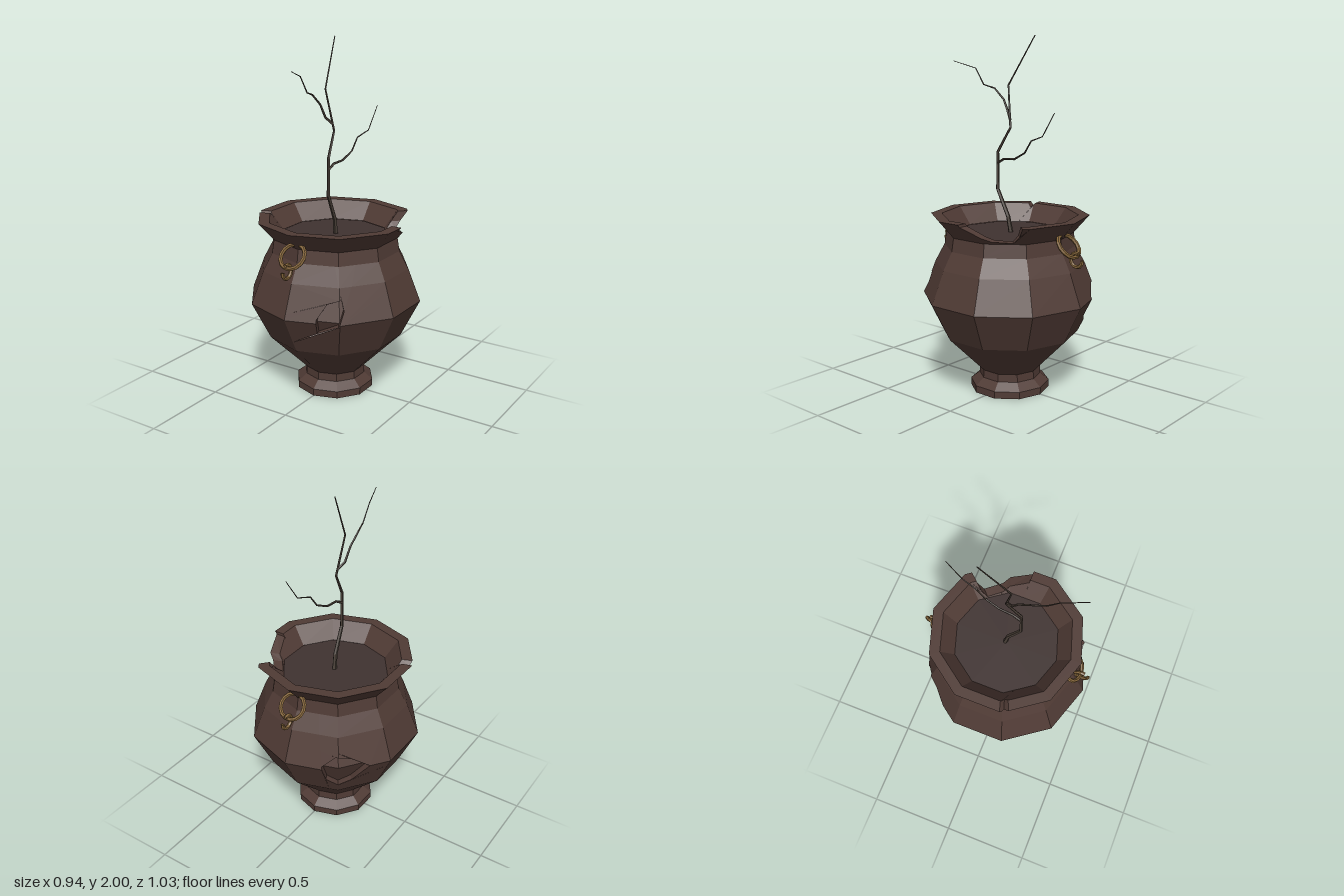
import * as THREE from 'three';

const SIDES = 10;
const paint = (color) => new THREE.MeshStandardMaterial({ color, flatShading: true, side: THREE.DoubleSide });
const CLAY = paint(0x503b35), SOIL = paint(0x3f3230), WOOD = paint(0x483e36), BRASS = paint(0x84653a);

function add(parent, name, geometry, material) {
  const mesh = new THREE.Mesh(geometry, material);
  mesh.name = name;
  parent.add(mesh);
  return mesh;
}

// Signed side of p relative to the line a-b (positive = left)
const sideOf = (p, a, b) => (b[0] - a[0]) * (p[1] - a[1]) - (b[1] - a[1]) * (p[0] - a[0]);

// Keep the part of a convex polygon on one side of a line
function clip(poly, a, b, sign) {
  const out = [];
  poly.forEach((p, i) => {
    const q = poly[(i + 1) % poly.length];
    const dp = sign * sideOf(p, a, b), dq = sign * sideOf(q, a, b);
    if (dp >= 0) out.push(p);
    if (dp * dq < 0) {
      const t = dp / (dp - dq);
      out.push([p[0] + (q[0] - p[0]) * t, p[1] + (q[1] - p[1]) * t]);
    }
  });
  return out.length > 2 ? out : [];
}

// Point on the faceted wall: u counts sides from the front towards +x
function onWall(u, y, r) {
  const i = Math.floor(u), f = u - i, step = Math.PI * 2 / SIDES;
  const s = (k) => r * Math.sin(k * step), c = (k) => r * Math.cos(k * step);
  return [s(i) + (s(i + 1) - s(i)) * f, y, c(i) + (c(i + 1) - c(i)) * f];
}

// Faceted wall with convex chips, given as (u, y) polygons, broken out of it.
// profile rows are [y, outer radius, inner radius]; a hollow wall gets an inside and a lip.
function chippedWall(profile, chips, hollow) {
  const pos = [];
  const face = (pts) => {
    for (let i = 1; i < pts.length - 1; i++) pos.push(...pts[0], ...pts[i], ...pts[i + 1]);
  };
  const top = profile[profile.length - 1][0];
  for (let b = 0; b < profile.length - 1; b++) {
    const [y0, o0, n0] = profile[b], [y1, o1, n1] = profile[b + 1];
    for (let k = 0; k < SIDES; k++) {
      // keep lookups on this facet, even at its far edge
      const at = (p, r0, r1) => {
        const r = r0 + (r1 - r0) * (p[1] - y0) / (y1 - y0);
        const A = onWall(k, p[1], r), B = onWall(k + 1, p[1], r), f = p[0] - k;
        return A.map((v, j) => v + (B[j] - v) * f);
      };
      const outer = (p) => at(p, o0, o1), inner = (p) => at(p, n0, n1);
      let kept = [[[k, y0], [k + 1, y0], [k + 1, y1], [k, y1]]];
      for (const chip of chips) {
        const next = [];
        for (let cur of kept) {
          chip.forEach((a, i) => {
            const e = chip[(i + 1) % chip.length];
            const rest = clip(cur, a, e, -1);
            if (rest.length) next.push(rest);
            cur = clip(cur, a, e, 1);
          });
          if (!cur.length) continue;
          if (!hollow) face(cur.map(inner));
          // broken edges around the chip
          cur.forEach((p, i) => {
            const q = cur[(i + 1) % cur.length];
            const broken = chip.some((a, j) => {
              const e = chip[(j + 1) % chip.length];
              return Math.abs(sideOf(p, a, e)) < 1e-7 && Math.abs(sideOf(q, a, e)) < 1e-7;
            });
            if (broken) face([outer(p), outer(q), inner(q), inner(p)]);
          });
        }
        kept = next;
      }
      for (const piece of kept) {
        face(piece.map(outer));
        if (!hollow) continue;
        face(piece.map(inner).reverse());
        piece.forEach((p, i) => {
          const q = piece[(i + 1) % piece.length];
          if (Math.abs(p[1] - top) < 1e-6 && Math.abs(q[1] - top) < 1e-6) {
            face([outer(p), inner(p), inner(q), outer(q)]);
          }
        });
      }
    }
  }
  const g = new THREE.BufferGeometry();
  g.setAttribute('position', new THREE.Float32BufferAttribute(pos, 3));
  g.computeVertexNormals();
  return g;
}

// Angular tapering twig through the given points
function twig(points, r0, r1) {
  const pts = points.map((p) => new THREE.Vector3(...p)), n = pts.length - 1, sides = 5;
  const curve = new THREE.Curve();
  curve.getPoint = (t) => {
    const i = Math.min(n - 1, Math.floor(t * n));
    return pts[i].clone().lerp(pts[i + 1], t * n - i);
  };
  curve.getPointAt = curve.getPoint;
  curve.getTangentAt = (t) => curve.getTangent(t);
  const g = new THREE.TubeGeometry(curve, n, 1, sides, false);
  const a = g.attributes.position, v = new THREE.Vector3();
  for (let i = 0; i < a.count; i++) {
    const row = Math.floor(i / (sides + 1)), r = r0 + (r1 - r0) * row / n;
    v.fromBufferAttribute(a, i).sub(pts[row]).multiplyScalar(r).add(pts[row]);
    a.setXYZ(i, v.x, v.y, v.z);
  }
  g.computeVertexNormals();
  return g;
}

export function createModel() {
  const model = new THREE.Group();
  model.name = 'brokenPotWithBranch';

  // Pot: foot, belly and neck, with two broken patches on the belly
  const pot = new THREE.Group();
  pot.name = 'pot';
  model.add(pot);
  const body = [[0, .226], [.04, .226], [.08, .176], [.125, .174], [.34, .389], [.555, .496],
    [.74, .425], [.84, .372], [.915, .36]].map(([y, r]) => [y, r, r - .04]);
  const frontChip = [[.57, .485], [.98, .545], [1.09, .62], [1.04, .68], [.76, .655], [.57, .57]];
  const backChip = [[5.68, .57], [5.74, .45], [6, .41], [6.3, .44], [6.6, .555], [6.25, .615], [5.95, .635]];
  add(pot, 'body', chippedWall(body, [frontChip, backChip], false), CLAY);

  // Flared rim with a large missing piece and a small nick
  const rimGap = [[2.47, 1.1], [2.5, 1.0], [3.2, .928], [3.7, .922], [3.82, .96], [3.9, 1.1]];
  const nick = [[7.9, 1.03], [8.05, .99], [8.2, 1.03]];
  add(pot, 'rim', chippedWall([[.915, .36, .305], [1.015, .447, .385]], [rimGap, nick], true), CLAY);

  const base = add(pot, 'base', new THREE.CircleGeometry(.226, SIDES, Math.PI / 2), CLAY);
  base.rotation.x = Math.PI / 2;
  add(pot, 'soil', new THREE.CylinderGeometry(.308, .308, .02, SIDES), SOIL).position.y = .903;

  // Ring handles, front and back
  for (const turn of [0, Math.PI]) {
    const handle = new THREE.Group();
    handle.name = turn ? 'backHandle' : 'frontHandle';
    handle.rotation.y = turn;
    const ring = add(handle, 'ring', new THREE.TorusGeometry(.072, .012, 6, 14), BRASS);
    ring.position.set(0, .89, .412);
    ring.rotation.x = -.7;
    // open link hanging from the ring, seen edge-on from the front
    const link = add(handle, 'link', new THREE.TorusGeometry(.038, .011, 6, 10, Math.PI * 1.65), BRASS);
    link.position.set(0, .82, .465);
    link.rotation.set(0, -Math.PI / 2, 1.2, 'YXZ');
    model.add(handle);
  }

  // Dead branch
  const branch = new THREE.Group();
  branch.name = 'branch';
  model.add(branch);
  add(branch, 'trunk', twig([[0, .9, -.01], [.005, 1, .008], [.01, 1.15, .08], [.01, 1.36, .08],
    [-.005, 1.5, 0], [-.035, 1.73, .04], [-.075, 2, -.115]], .014, .003), WOOD);
  add(branch, 'frontTwig', twig([[-.012, 1.54, .008], [-.035, 1.575, .04], [-.042, 1.65, .08], [-.045, 1.71, .15],
    [-.03, 1.73, .22], [-.03, 1.82, .28], [.01, 1.86, .415]], .008, .002), WOOD);
  add(branch, 'backTwig', twig([[.01, 1.3, .075], [.015, 1.325, .03], [.02, 1.33, -.05], [.03, 1.37, -.13],
    [.035, 1.44, -.18], [.053, 1.47, -.27], [.06, 1.6, -.355]], .008, .002), WOOD);

  return model;
}
